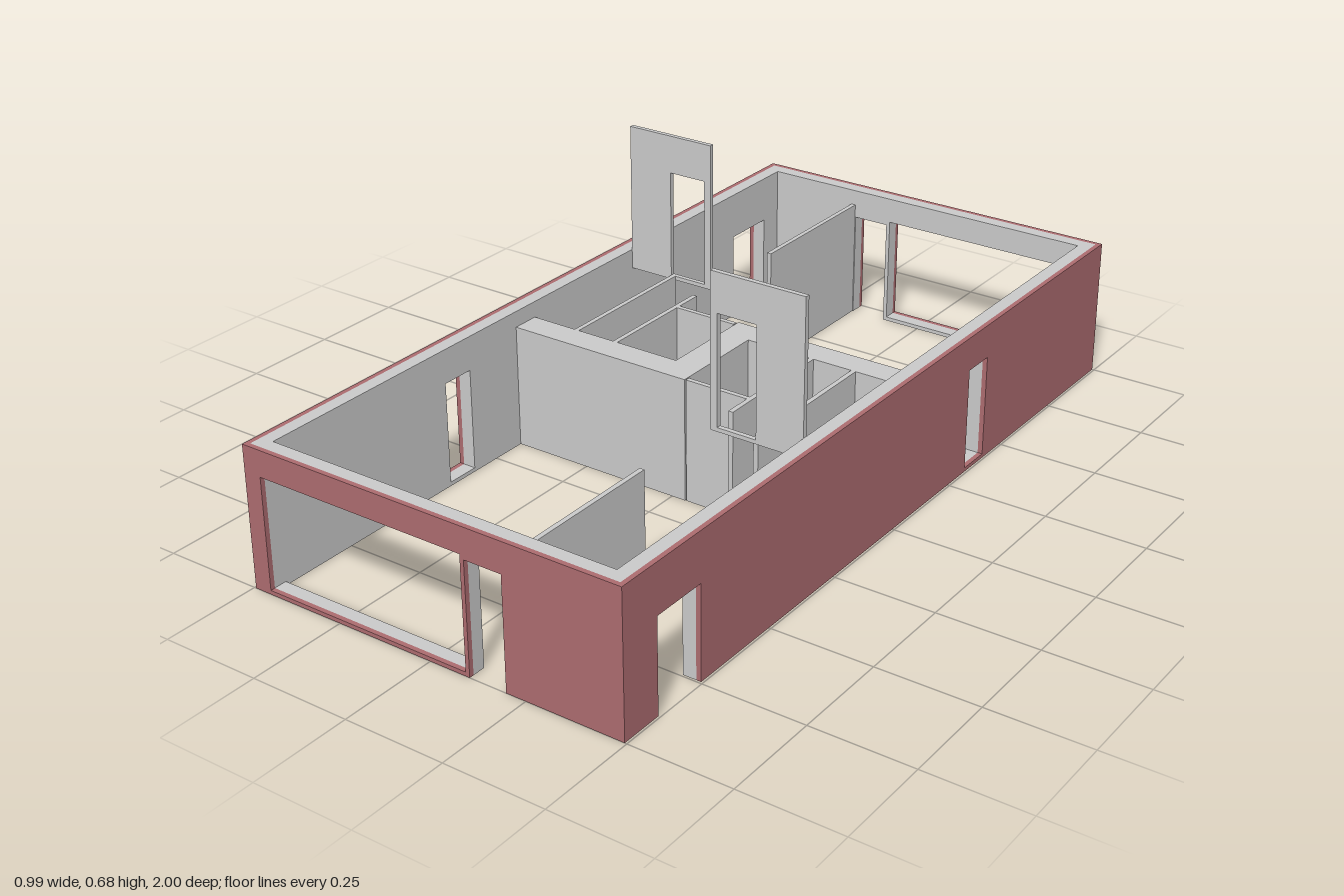
import * as THREE from 'three';

const grey = new THREE.MeshStandardMaterial({ color: 0xcccccc, flatShading: true });
const red = new THREE.MeshStandardMaterial({ color: 0xad6c70, flatShading: true });

const H = 0.35;        // outer wall height
const INNER_H = 0.31;  // partition height

// Wall sheet from u0 to u1 with floor-level doors (sorted by u) and framed windows
function sheet(u0, u1, y0, y1, depth, doors, windows) {
  const s = new THREE.Shape();
  s.moveTo(u0, y0);
  for (const [a, b, top] of doors) {
    s.lineTo(a, y0);
    s.lineTo(a, top);
    s.lineTo(b, top);
    s.lineTo(b, y0);
  }
  s.lineTo(u1, y0);
  s.lineTo(u1, y1);
  s.lineTo(u0, y1);
  s.closePath();
  for (const [a, b, low, top] of windows) {
    const h = new THREE.Path();
    h.moveTo(a, low);
    h.lineTo(a, top);
    h.lineTo(b, top);
    h.lineTo(b, low);
    h.closePath();
    s.holes.push(h);
  }
  return new THREE.ExtrudeGeometry(s, { depth, bevelEnabled: false });
}

function add(group, name, geometry, material) {
  const mesh = new THREE.Mesh(geometry, material);
  mesh.name = name;
  group.add(mesh);
}

// Upright partition given by its plan rectangle
function partition(group, name, x0, x1, z0, z1) {
  const g = new THREE.BoxGeometry(x1 - x0, INNER_H, z1 - z0);
  g.translate((x0 + x1) / 2, INNER_H / 2, (z0 + z1) / 2);
  add(group, name, g, grey);
}

// One dwelling: front wall, right-hand long wall and its partitions
function halfHouse(name) {
  const g = new THREE.Group();
  g.name = name;

  // Front wall: coloured cladding over a grey lining
  const frontDoor = [[0.105, 0.2, 0.275]];
  const frontWindow = [[-0.45, 0.095, 0.01, 0.285]];
  add(g, 'frontCladding',
    sheet(-0.495, 0.495, 0, H, 0.012, frontDoor, frontWindow).translate(0, 0, 0.988), red);
  add(g, 'frontLining',
    sheet(-0.483, 0.483, 0, H, 0.033, frontDoor, frontWindow).translate(0, 0, 0.955), grey);

  // Long side wall, drawn along -z and turned to face +x
  const sideDoor = [[-0.89, -0.745, 0.23]];
  const sideWindow = [[0.33, 0.415, 0.01, 0.265]];
  add(g, 'sideCladding',
    sheet(-0.988, 0.988, 0, H, 0.012, sideDoor, sideWindow)
      .rotateY(Math.PI / 2).translate(0.483, 0, 0), red);
  add(g, 'sideLining',
    sheet(-0.955, 0.955, 0, H, 0.033, sideDoor, sideWindow)
      .rotateY(Math.PI / 2).translate(0.45, 0, 0), grey);

  // Thin partitions
  partition(g, 'frontRoomPartition', 0.202, 0.214, 0.55, 0.955);
  partition(g, 'hallPartition', 0.205, 0.217, -0.1, 0.23);
  partition(g, 'closetPartition', 0.318, 0.33, -0.1, 0.3);
  partition(g, 'bathPartition', 0.04, 0.205, 0.147, 0.159);

  // Raised panel with a doorway
  add(g, 'raisedDoorPanel',
    sheet(0.212, 0.45, 0.3, 0.675, 0.012, [], [[0.23, 0.33, 0.31, 0.58]])
      .translate(0, 0, 0.297), grey);
  return g;
}

export function createModel() {
  const model = new THREE.Group();
  model.name = 'duplexHouse';

  // The second dwelling is the first turned half round
  const front = halfHouse('frontDwelling');
  const back = halfHouse('backDwelling');
  back.rotation.y = Math.PI;
  model.add(front, back);

  // Thick S-shaped party wall between the dwellings
  const plan = [
    [-0.45, 0.09], [-0.037, 0.09], [-0.037, -0.163], [0.45, -0.163],
    [0.45, -0.095], [0.037, -0.095], [0.037, 0.16], [-0.45, 0.16],
  ];
  const s = new THREE.Shape(plan.map(([x, z]) => new THREE.Vector2(x, -z)));
  const wall = new THREE.ExtrudeGeometry(s, { depth: INNER_H, bevelEnabled: false });
  wall.rotateX(-Math.PI / 2);
  add(model, 'partyWall', wall, grey);

  return model;
}
